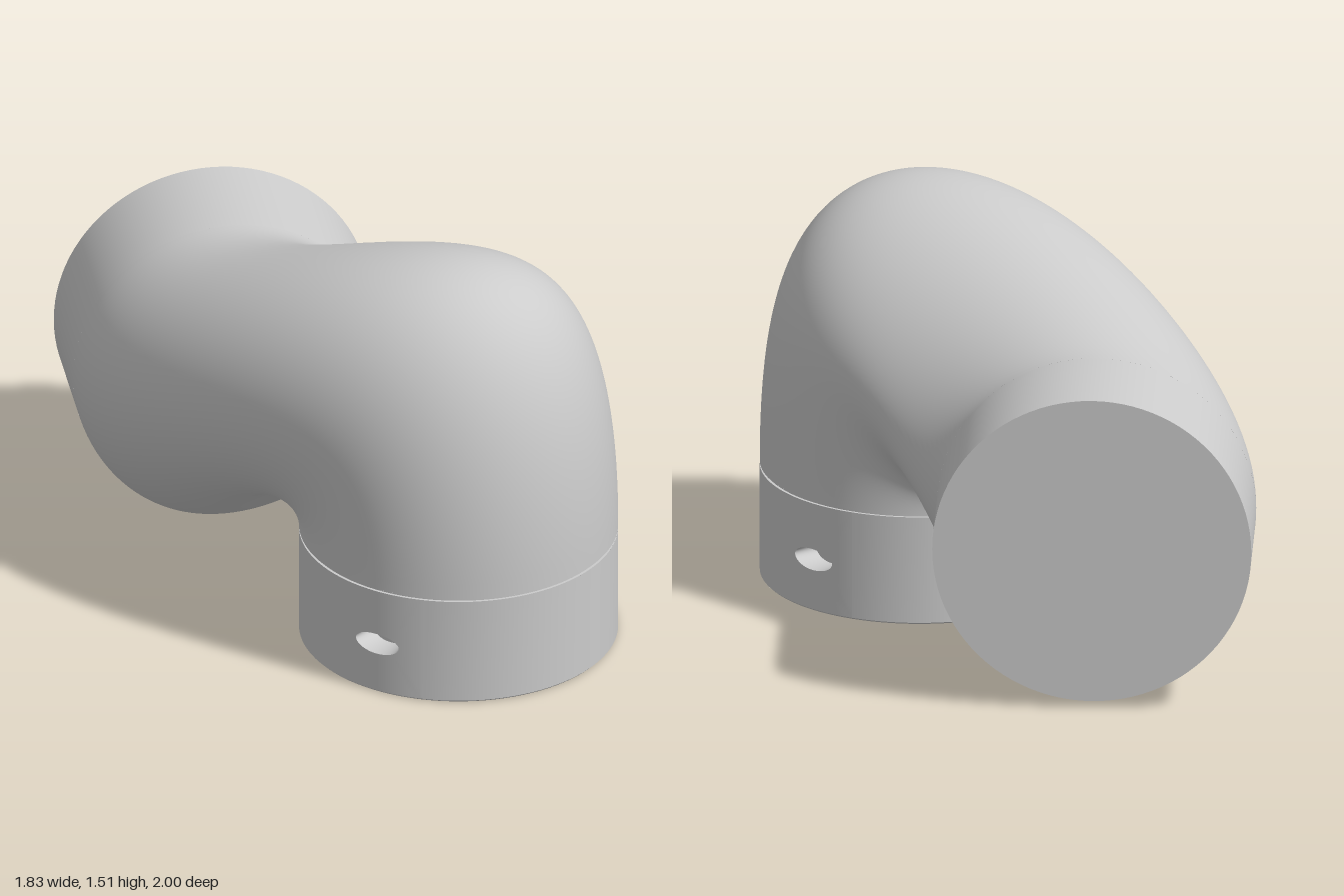
import * as THREE from 'three';
import { mergeVertices } from 'three/addons/utils/BufferGeometryUtils.js';

const R = 0.575;                       // pipe radius
const CX = 0.335, CZ = 0.425;          // vertical socket axis
const EX = -0.34, EY = 0.6;            // horizontal outlet axis
const SEAM = 0.42, BEND_END = -0.55;   // where the bend starts (y) and ends (z)
const material = new THREE.MeshStandardMaterial({ color: 0xcccccc, side: THREE.DoubleSide });

// Smooth surface from a point rule f(u, v); u cross v points outwards.
function surface(f, nu, nv) {
  const pos = [], index = [];
  for (let i = 0; i <= nu; i++)
    for (let j = 0; j <= nv; j++) pos.push(...f(i / nu, j / nv));
  for (let i = 0; i < nu; i++)
    for (let j = 0; j < nv; j++) {
      const a = i * (nv + 1) + j, b = a + nv + 1;
      index.push(a, b, b + 1, a, b + 1, a + 1);
    }
  let g = new THREE.BufferGeometry();
  g.setAttribute('position', new THREE.Float32BufferAttribute(pos, 3));
  g.setIndex(index);
  g = mergeVertices(g, 1e-5);
  g.computeVertexNormals();
  return g;
}

// Point on the socket wall at angle phi, height y, radius r.
const wall = (phi, y, r = R) => [CX + r * Math.cos(phi), y, CZ + r * Math.sin(phi)];

// Bend: each rim point of the socket runs along a cubic curve to the outlet rim.
function bendPoint(u, v) {
  const t = u * Math.PI * 2, c = Math.cos(t), s = Math.sin(t);
  const ox = 0.57, oz = 0.8216;        // direction of the outside of the bend
  const A = [CX + R * (ox * c + oz * s), SEAM, CZ + R * (oz * c - ox * s)];
  const B = [EX + R * s, EY + R * c, BEND_END];
  const rise = 1.0 + 0.87 * c + 0.18 * s;
  const run = 0.4 + 0.2 * c - 0.25 * s;
  const h = v * v * (3 - 2 * v), w = 1 - v;
  return [
    A[0] + (B[0] - A[0]) * h,
    A[1] + (B[1] - A[1]) * h + 3 * v * w * w * rise,
    A[2] + (B[2] - A[2]) * h + 3 * v * v * w * run,
  ];
}

export function createModel() {
  const group = new THREE.Group();
  const add = (name, geometry, parent = group) => {
    const m = new THREE.Mesh(geometry, material);
    m.name = name;
    parent.add(m);
    return m;
  };

  add('elbowBend', surface(bendPoint, 128, 80));

  // Straight outlet with its closed end
  const outletLength = 1 + BEND_END;
  const outlet = add('outletPipe', new THREE.CylinderGeometry(R, R, outletLength, 96, 1, true));
  outlet.rotation.x = Math.PI / 2;
  outlet.position.set(EX, EY, -1 + outletLength / 2);
  const cap = add('outletEnd', new THREE.CircleGeometry(R, 96));
  cap.rotation.y = Math.PI;
  cap.position.set(EX, EY, -1);

  // Socket collar: wall panels with two opposite slotted pockets
  const socket = new THREE.Group();
  socket.name = 'socketCollar';
  group.add(socket);
  const y0 = 0.006, y1 = 0.41, W = 0.3, holeY = 0.195, midY = (y0 + y1) / 2;
  const holeW = 0.09 / R, holeH = 0.04, depth = 0.1;
  for (const phi of [130, 310].map(THREE.MathUtils.degToRad)) {
    const slot = (t, k, r) => wall(phi - holeW * k * Math.cos(t), holeY + holeH * k * Math.sin(t), r);
    add('slottedPanel', surface((u, v) => {
      const t = v * Math.PI * 2, c = Math.cos(t), s = Math.sin(t);
      const m = Math.max(Math.abs(c), Math.abs(s));
      const L = THREE.MathUtils.lerp;
      return wall(phi - L(holeW * c, W * c / m, u),
        L(holeY + holeH * s, midY + (y1 - y0) / 2 * s / m, u));
    }, 8, 64), socket);
    add('slotWall', surface((u, v) => slot(u * Math.PI * 2, 1, R - depth * v), 64, 2), socket);
    add('slotFloor', surface((u, v) => slot(v * Math.PI * 2, u, R - depth), 3, 64), socket);
    add('plainWall', surface((u, v) =>
      wall(phi + Math.PI - W - u * (Math.PI - 2 * W), y0 + (y1 - y0) * v), 48, 1), socket);
  }

  // Bottom disc with a fine chamfer, and the groove under the bend
  const ring = (name, pts) => {
    for (let i = 0; i + 1 < pts.length; i++) {
      const m = add(name, new THREE.LatheGeometry(
        [pts[i], pts[i + 1]].map(p => new THREE.Vector2(...p)), 96), socket);
      m.position.set(CX, 0, CZ);
    }
  };
  ring('socketBottom', [[0, 0], [R - 0.006, 0], [R, y0]]);
  ring('seamGroove', [[R, y1], [R - 0.01, y1], [R - 0.01, SEAM], [R, SEAM]]);

  return group;
}
